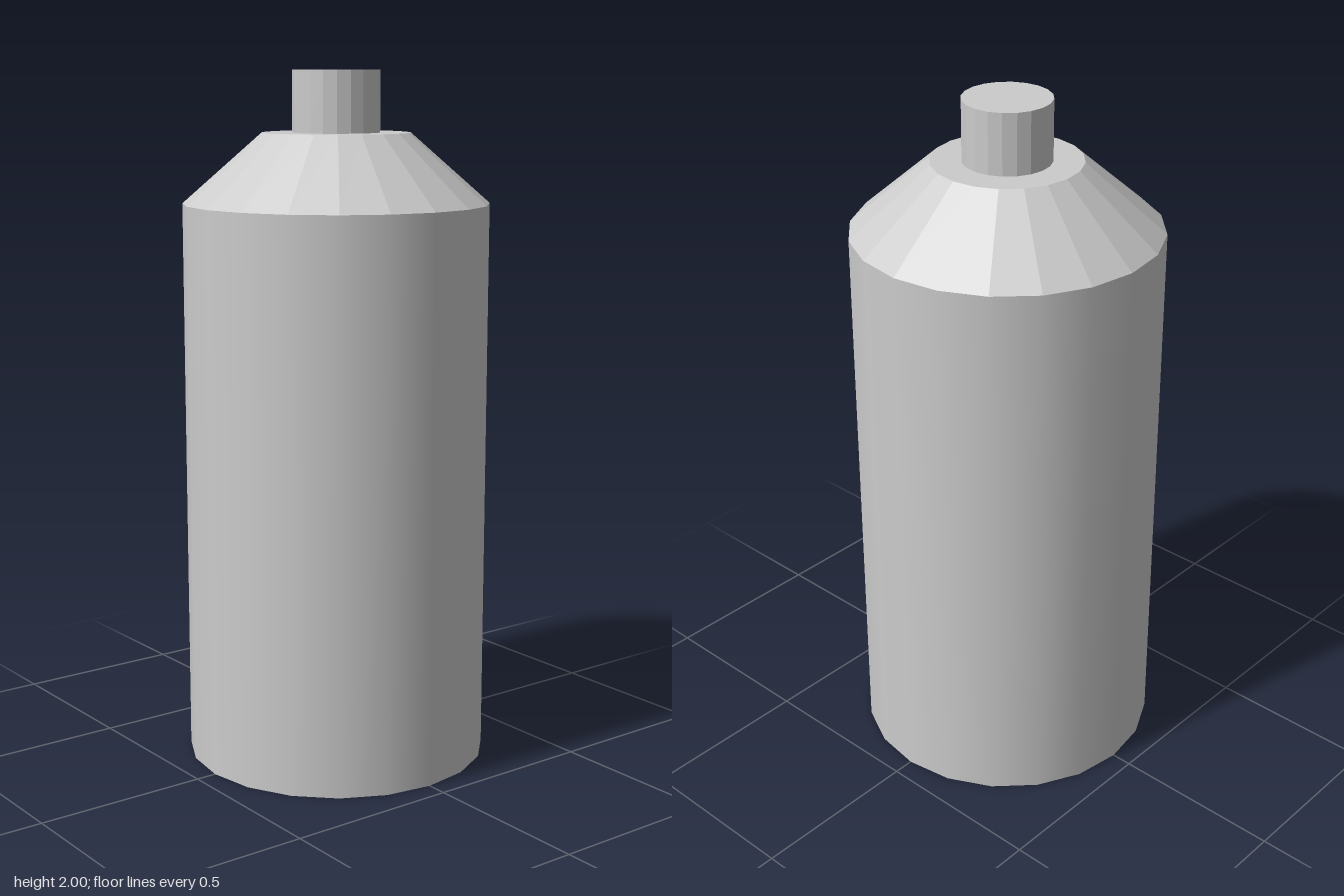
import * as THREE from 'three';

const SIDES = 20;

export function createModel() {
  const group = new THREE.Group();
  const smooth = new THREE.MeshStandardMaterial({ color: 0xcccccc });
  const faceted = new THREE.MeshStandardMaterial({ color: 0xcccccc, flatShading: true });

  // One round section between two heights
  function section(name, rTop, rBottom, y0, y1, material, open = false) {
    const geometry = new THREE.CylinderGeometry(rTop, rBottom, y1 - y0, SIDES, 1, open);
    const mesh = new THREE.Mesh(geometry, material);
    mesh.name = name;
    mesh.position.y = (y0 + y1) / 2;
    group.add(mesh);
  }

  // Flat disc closing the end of a section
  function disc(name, radius, y, tilt) {
    const mesh = new THREE.Mesh(new THREE.CircleGeometry(radius, SIDES), smooth);
    mesh.name = name;
    mesh.position.y = y;
    mesh.rotation.x = tilt;
    group.add(mesh);
  }

  // Bottle body and its base
  section('body', 0.44, 0.44, 0, 1.625, smooth, true);
  disc('base', 0.44, 0, Math.PI / 2);

  // Sloping shoulder with a flat ledge around the neck
  section('shoulder', 0.212, 0.44, 1.625, 1.825, faceted, true);
  disc('shoulderTop', 0.212, 1.825, -Math.PI / 2);

  // Neck and its flat top
  section('neck', 0.125, 0.125, 1.825, 2, faceted, true);
  disc('neckTop', 0.125, 2, -Math.PI / 2);

  return group;
}
